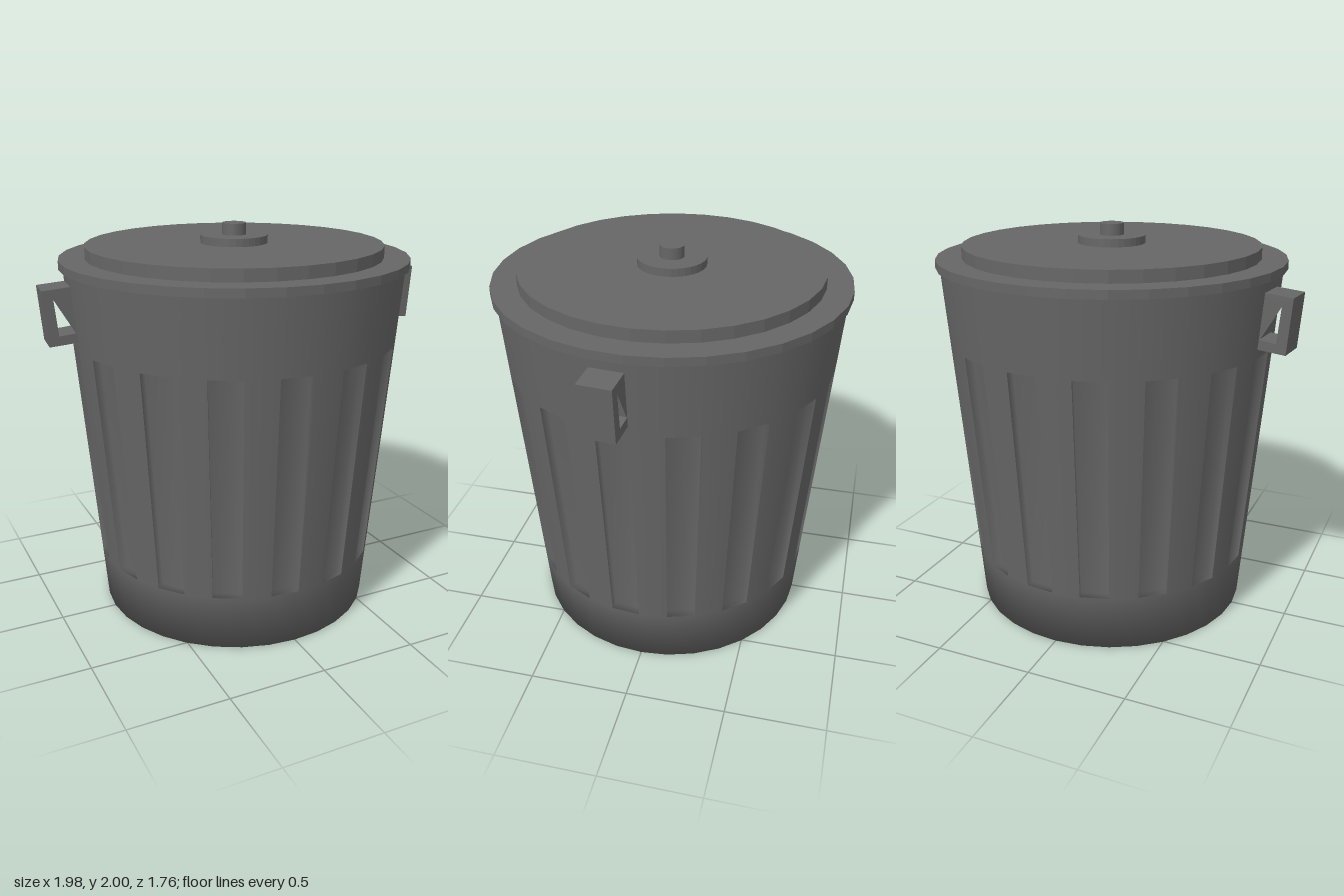
import * as THREE from 'three';

const SIDES = 32;
const STEP = (Math.PI * 2) / SIDES;
const BOTTOM = 0.29, TOP = 1.425, RIM = 1.81; // slot bottom, slot top, can rim
const DEPTH = 0.045;
const radiusAt = (y) => 0.71 + 0.083 * y; // tapered wall

export function createModel() {
  const group = new THREE.Group();
  const grey = new THREE.MeshStandardMaterial({ color: 0x666666 });
  grey.name = 'dark grey';

  const add = (name, geometry, parent = group) => {
    const mesh = new THREE.Mesh(geometry, grey);
    mesh.name = name;
    parent.add(mesh);
    return mesh;
  };
  const lathe = (points) =>
    new THREE.LatheGeometry(points.map(([r, y]) => new THREE.Vector2(r, y)), SIDES);

  // Solid bottom and plain band below the lid
  add('base', lathe([[0, 0], [radiusAt(0), 0], [radiusAt(BOTTOM), BOTTOM]]));
  add('upperBand', lathe([[radiusAt(TOP), TOP], [radiusAt(RIM), RIM]]));

  // Alternating ribs and recessed panels around the wall
  const wall = new THREE.Group();
  wall.name = 'ribbedWall';
  group.add(wall);
  for (let k = 0; k < SIDES; k++) {
    if (k % 2 === 0) {
      const rib = new THREE.CylinderGeometry(
        radiusAt(TOP), radiusAt(BOTTOM), TOP - BOTTOM, 1, 1, true, k * STEP, STEP);
      add('rib', rib, wall).position.y = (TOP + BOTTOM) / 2;
    } else {
      add('recess', recessGeometry(k * STEP), wall);
    }
  }

  // Stepped lid with knob
  const disc = (name, r, y0, y1) => {
    const g = new THREE.CylinderGeometry(r, r, y1 - y0, SIDES).toNonIndexed();
    g.computeVertexNormals(); // faceted rim
    add(name, g).position.y = (y0 + y1) / 2;
  };
  disc('lidFlange', 0.88, 1.8, 1.842);
  disc('lidTop', 0.75, 1.842, 1.902);
  disc('knobBase', 0.17, 1.902, 1.942);
  disc('knob', 0.06, 1.942, 2.0);

  // Two opposite handles, each centred on one side of the wall
  const toPath = (pts, path) => path.setFromPoints(pts.map(([x, y]) => new THREE.Vector2(x, y)));
  const profile = toPath(
    [[0.81, 1.475], [0.966, 1.462], [0.988, 1.735], [0.83, 1.748]], new THREE.Shape());
  profile.holes.push(toPath(
    [[0.825, 1.522], [0.826, 1.7], [0.934, 1.69], [0.917, 1.512]], new THREE.Path()));
  const handle = new THREE.ExtrudeGeometry(profile, { depth: 0.164, bevelEnabled: false });
  handle.translate(0, 0, -0.082);
  [['leftHandle', -STEP / 2], ['rightHandle', Math.PI - STEP / 2]].forEach(([name, angle]) => {
    add(name, handle).rotation.y = angle;
  });

  return group;
}

// Shallow pocket: floor and four walls sharing corners for softly shaded inner edges
function recessGeometry(angle) {
  const mid = angle + STEP / 2;
  const positions = [];
  for (const inset of [0, DEPTH]) {
    for (const [a, y] of [[angle, BOTTOM], [angle + STEP, BOTTOM], [angle + STEP, TOP], [angle, TOP]]) {
      const r = radiusAt(y);
      positions.push(
        Math.sin(a) * r - Math.sin(mid) * inset, y, Math.cos(a) * r - Math.cos(mid) * inset);
    }
  }
  const index = [4, 5, 6, 4, 6, 7];
  for (let i = 0; i < 4; i++) {
    const j = (i + 1) % 4;
    index.push(i, j, 4 + j, i, 4 + j, 4 + i);
  }
  const g = new THREE.BufferGeometry();
  g.setAttribute('position', new THREE.Float32BufferAttribute(positions, 3));
  g.setIndex(index);
  g.computeVertexNormals();
  return g;
}
